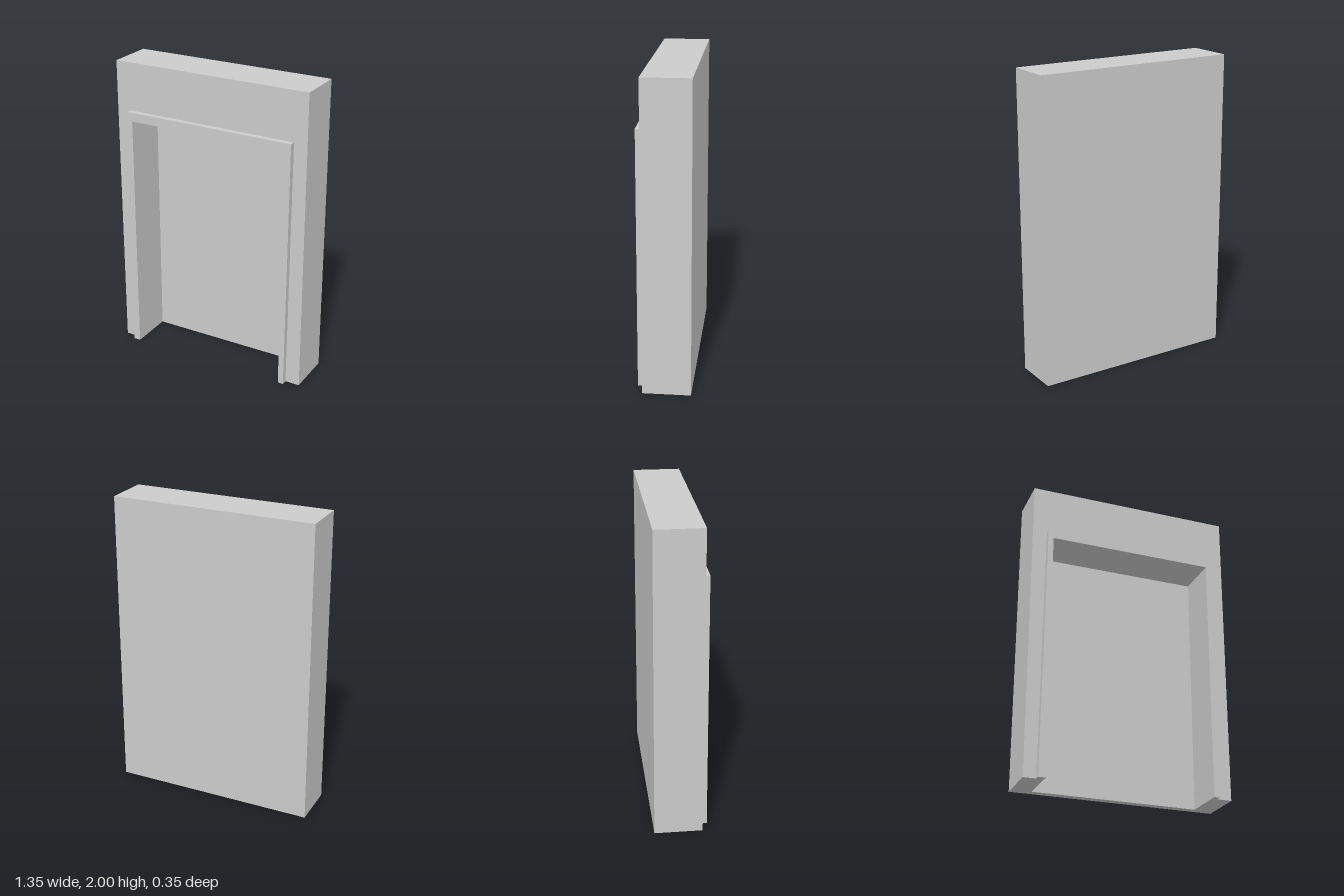
import * as THREE from 'three';

const material = new THREE.MeshStandardMaterial({ color: 0xcccccc, flatShading: true });

// Doorway opening, from bottom right up and over to bottom left
const opening = [[0.541, 0], [0.541, 1.623], [-0.545, 1.623], [-0.545, 0]];

// Arch-shaped slab: an outer outline wrapped around the opening
function archSlab(name, outer, zBack, zFront) {
  const shape = new THREE.Shape([...outer, ...opening.slice().reverse()].map(([x, y]) => new THREE.Vector2(x, y)));
  const geometry = new THREE.ExtrudeGeometry(shape, { depth: zFront - zBack, bevelEnabled: false });
  geometry.translate(0, 0, zBack);
  const mesh = new THREE.Mesh(geometry, material);
  mesh.name = name;
  return mesh;
}

export function createModel() {
  const group = new THREE.Group();
  group.name = 'doorway';

  const zBack = -0.173, zRecess = -0.122, zWall = 0.135, zFrame = 0.173;

  // Closed back of the recess
  const back = new THREE.Mesh(new THREE.BoxGeometry(1.35, 2, zRecess - zBack), material);
  back.position.set(0, 1, (zBack + zRecess) / 2);
  back.name = 'backPanel';
  group.add(back);

  // Thick wall around the opening
  group.add(archSlab('wall', [[0.675, 0], [0.675, 2], [-0.675, 2], [-0.675, 0]], zRecess, zWall));

  // Slightly crooked raised trim around the opening
  group.add(archSlab('doorFrame', [[0.578, 0], [0.586, 1.677], [-0.58, 1.682], [-0.593, 0]], zWall, zFrame));

  return group;
}
